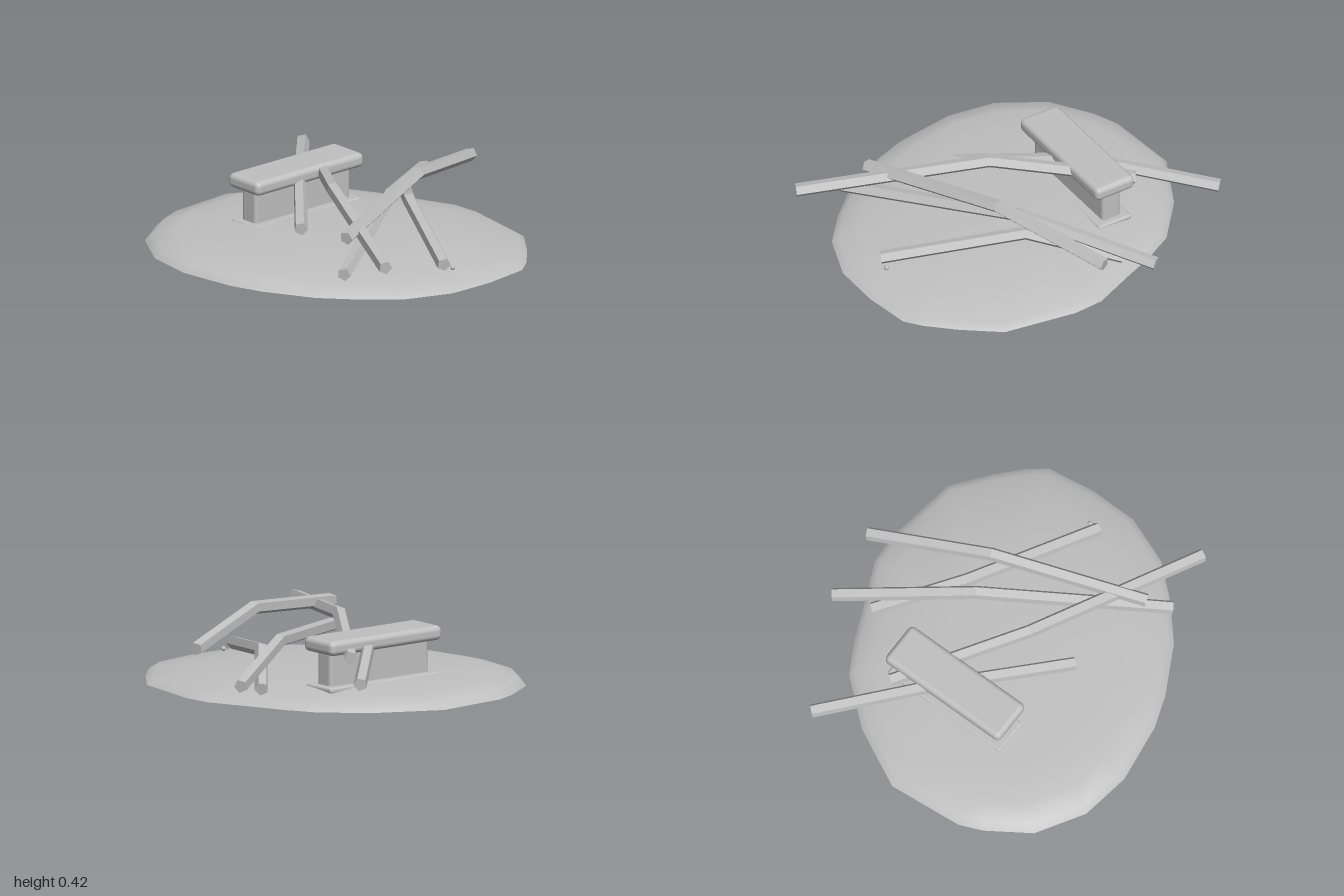
import * as THREE from 'three';
import { RoundedBoxGeometry } from 'three/addons/geometries/RoundedBoxGeometry.js';

// Mound outline (x, z), running from the back towards +x, the front and -x
const OUTLINE = [
  [-0.28, -0.78], [-0.1, -0.785], [0.1, -0.77], [0.35, -0.755], [0.5, -0.69], [0.82, -0.455],
  [0.92, -0.24], [0.98, -0.07], [1, 0.04], [0.92, 0.28], [0.8, 0.51], [0.6, 0.69],
  [0.4, 0.77], [0.17, 0.83], [-0.12, 0.835], [-0.3, 0.81], [-0.6, 0.705], [-0.82, 0.545],
  [-0.97, 0.3], [-1, 0.04], [-0.99, -0.09], [-0.84, -0.46], [-0.56, -0.665],
];

function build(positions, index) {
  const g = new THREE.BufferGeometry();
  g.setAttribute('position', new THREE.Float32BufferAttribute(positions, 3));
  g.setIndex(index);
  return g;
}

// Low dome lofted from shrinking copies of the outline, [scale, height]
function moundGeometry() {
  const rings = [[1, 0], [0.96, 0.03], [0.85, 0.052], [0.66, 0.075], [0.4, 0.086], [0.18, 0.09]];
  const n = OUTLINE.length, pos = [], idx = [];
  for (const [s, y] of rings) {
    for (const [x, z] of OUTLINE) {
      // the rim is thinner towards +x and the back
      const lean = s > 0.8 ? 1 - 0.25 * x + 0.1 * z : 1;
      pos.push(x * s, y * lean, z * s);
    }
  }
  pos.push(0, 0.091, 0);
  const tip = rings.length * n;
  for (let i = 0; i < n; i++) {
    const j = (i + 1) % n;
    for (let r = 0; r < rings.length - 1; r++) {
      const a = r * n, b = a + n;
      idx.push(a + j, a + i, b + i, a + j, b + i, b + j);
    }
    idx.push(tip - n + j, tip - n + i, tip);
  }
  const g = build(pos, idx);
  g.computeVertexNormals();
  return g;
}

function undersideGeometry() {
  const n = OUTLINE.length, pos = [], idx = [];
  for (const [x, z] of OUTLINE) pos.push(x, 0, z);
  pos.push(0, 0, 0);
  for (let i = 0; i < n; i++) idx.push(i, (i + 1) % n, n);
  const g = build(pos, idx);
  g.computeVertexNormals();
  return g;
}

// Five-sided bar bent once in the middle, with flat faces
function barGeometry(points, radius, roll) {
  const p = points.map((q) => new THREE.Vector3(...q));
  const dirs = [p[1].clone().sub(p[0]), p[2].clone().sub(p[0]), p[2].clone().sub(p[1])];
  const up = new THREE.Vector3(0, 1, 0), N = 5, pos = [], idx = [];
  p.forEach((c, k) => {
    const t = dirs[k].normalize();
    const s = up.clone().cross(t).normalize(), u = t.clone().cross(s);
    for (let i = 0; i < N; i++) {
      const a = Math.PI * 0.3 + roll + (i * 2 * Math.PI) / N;
      const v = c.clone().addScaledVector(s, radius * Math.cos(a)).addScaledVector(u, radius * Math.sin(a));
      pos.push(v.x, v.y, v.z);
    }
  });
  pos.push(...points[0], ...points[2]);
  for (let i = 0; i < N; i++) {
    const j = (i + 1) % N;
    for (const r of [0, N]) idx.push(r + i, r + j, r + N + j, r + i, r + N + j, r + N + i);
    idx.push(j, i, 3 * N, 2 * N + i, 2 * N + j, 3 * N + 1);
  }
  const g = build(pos, idx).toNonIndexed();
  g.computeVertexNormals();
  return g;
}

export function createModel() {
  const model = new THREE.Group();
  model.name = 'mound';
  const stone = new THREE.MeshStandardMaterial({ color: 0xc0c0c0 });
  stone.name = 'stone grey';

  const add = (name, geometry, parent = model) => {
    const mesh = new THREE.Mesh(geometry, stone);
    mesh.name = name;
    parent.add(mesh);
    return mesh;
  };

  add('ground', moundGeometry());
  add('underside', undersideGeometry());

  // Bench: slab on an upright block with a thin footing
  const bench = new THREE.Group();
  bench.name = 'bench';
  bench.position.set(-0.34, 0, -0.22);
  bench.rotation.y = 1.095;
  model.add(bench);
  add('benchTop', new RoundedBoxGeometry(0.735, 0.076, 0.235, 4, 0.028), bench).position.y = 0.293;
  add('benchBase', new RoundedBoxGeometry(0.65, 0.22, 0.11, 3, 0.02), bench).position.y = 0.155;
  add('benchFooting', new RoundedBoxGeometry(0.72, 0.03, 0.2, 2, 0.012), bench).position.y = 0.073;

  // Bent bars lying across each other: back end, bend, front end
  const bars = [
    [[-0.575, 0.195, -0.925], [-0.34, 0.275, -0.27], [-0.09, 0.19, 0.36]],
    [[-0.36, 0.25, -0.55], [-0.01, 0.338, 0.11], [0.585, 0.24, 0.91]],
    [[0.395, 0.283, -0.8], [0.355, 0.385, -0.15], [0.277, 0.285, 0.67]],
    [[0.09, 0.135, -0.93], [0.19, 0.235, -0.2], [0.315, 0.135, 0.8]],
    [[0.065, 0.085, -0.72], [0.265, 0.195, -0.26], [0.69, 0.09, 0.35]],
  ];
  bars.forEach((points, i) => add('bar' + (i + 1), barGeometry(points, 0.036, 0.2)));

  // Small pebble by the end of the last bar
  add('pebble', new THREE.SphereGeometry(0.013, 8, 6)).position.set(0.72, 0.062, 0.3);
  return model;
}
